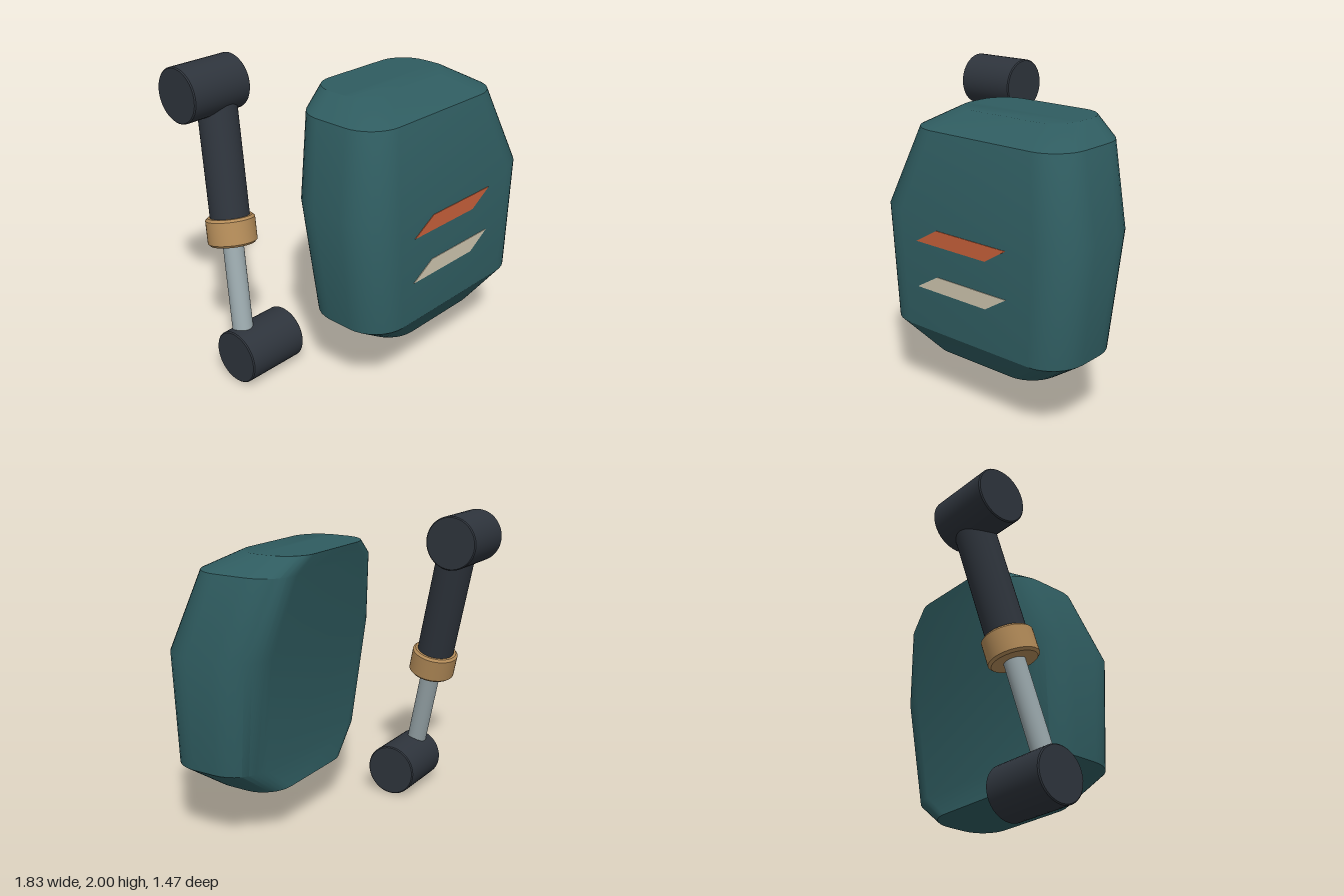
import * as THREE from 'three';
import { toCreasedNormals } from 'three/addons/utils/BufferGeometryUtils.js';

function material(name, color) {
  const m = new THREE.MeshStandardMaterial({ color });
  m.name = name;
  return m;
}

// Rounded-rectangle ring at height y, corner by corner
function ring({ y, x0, x1, z0, z1, r }, steps = 8) {
  const corners = [[x1 - r, z1 - r], [x0 + r, z1 - r], [x0 + r, z0 + r], [x1 - r, z0 + r]];
  const points = [];
  corners.forEach(([cx, cz], k) => {
    for (let i = 0; i <= steps; i++) {
      const a = (k + i / steps) * Math.PI / 2;
      points.push([cx + r * Math.cos(a), y, cz + r * Math.sin(a)]);
    }
  });
  return points;
}

// Skin a stack of rings and cap both ends
function loft(sections) {
  const rings = sections.map((s) => ring(s));
  const n = rings[0].length;
  const pos = [];
  const tri = (a, b, c) => pos.push(...a, ...b, ...c);
  for (let j = 0; j < rings.length - 1; j++) {
    for (let i = 0; i < n; i++) {
      const k = (i + 1) % n;
      const [a, b, c, d] = [rings[j][i], rings[j][k], rings[j + 1][k], rings[j + 1][i]];
      tri(a, d, b);
      tri(b, d, c);
    }
  }
  const bottom = rings[0], top = rings[rings.length - 1];
  for (let i = 1; i < n - 1; i++) {
    tri(bottom[0], bottom[i], bottom[i + 1]);
    tri(top[0], top[i + 1], top[i]);
  }
  const g = new THREE.BufferGeometry();
  g.setAttribute('position', new THREE.Float32BufferAttribute(pos, 3));
  return toCreasedNormals(g, 0.5);
}

// Solid cylinder along y with small bevelled rims
function bevelledCylinder(radius, length, bevel) {
  const h = length / 2;
  const profile = [[0, -h], [radius - bevel, -h], [radius, -h + bevel],
    [radius, h - bevel], [radius - bevel, h], [0, h]].map(([x, y]) => new THREE.Vector2(x, y));
  return toCreasedNormals(new THREE.LatheGeometry(profile, 40), 0.5);
}

export function createModel() {
  const model = new THREE.Group();
  const teal = material('teal shell', 0x2f5c60);
  const dark = material('dark metal', 0x2e343c);
  const brass = material('brass', 0xb48c59);
  const steel = material('steel', 0x9aa8ac);
  const orange = material('orange stripe', 0xc8603a);
  const cream = material('cream stripe', 0xcec5ae);

  const add = (parent, name, geometry, mat) => {
    const mesh = new THREE.Mesh(geometry, mat);
    mesh.name = name;
    parent.add(mesh);
    return mesh;
  };

  // Armour shell
  add(model, 'shell', loft([
    { y: 0.33, x0: -0.32, x1: 0.61, z0: 0.08, z1: 0.62, r: 0.2 },
    { y: 0.51, x0: -0.57, x1: 0.86, z0: 0.11, z1: 0.73, r: 0.23 },
    { y: 1.25, x0: -0.63, x1: 0.915, z0: 0.025, z1: 0.73, r: 0.25 },
    { y: 1.74, x0: -0.465, x1: 0.75, z0: -0.07, z1: 0.59, r: 0.22 },
    { y: 1.85, x0: -0.29, x1: 0.58, z0: -0.1, z1: 0.38, r: 0.19 },
  ]), teal);

  // Slanted stripes on the front
  const stripe = (name, y, mat) => {
    const shape = new THREE.Shape([[-0.25, 0], [0.31, 0], [0.47, 0.1], [-0.08, 0.1]]
      .map(([x, h]) => new THREE.Vector2(x, h)));
    const g = new THREE.ExtrudeGeometry(shape, { depth: 0.005, bevelEnabled: false });
    add(model, name, g, mat).position.set(0, y, 0.729);
  };
  stripe('upperStripe', 1.08, orange);
  stripe('lowerStripe', 0.782, cream);

  // Piston: two cross knuckles joined by a slanted rod and sleeve
  const piston = new THREE.Group();
  piston.name = 'piston';
  model.add(piston);

  const low = new THREE.Vector3(-0.833, 0.175, -0.16);
  const high = new THREE.Vector3(-0.625, 1.825, -0.565);
  for (const [name, end] of [['lowerKnuckle', low], ['upperKnuckle', high]]) {
    const k = add(piston, name, bevelledCylinder(0.175, 0.43, 0.007), dark);
    k.rotation.z = Math.PI / 2;
    k.position.set(-0.703, end.y, end.z);
  }

  const axis = high.clone().sub(low).normalize();
  const tilt = new THREE.Quaternion().setFromUnitVectors(new THREE.Vector3(0, 1, 0), axis);
  const length = high.distanceTo(low);
  const segment = (name, from, to, radius, bevel, mat) => {
    const m = add(piston, name, bevelledCylinder(radius, (to - from) * length, bevel), mat);
    m.quaternion.copy(tilt);
    m.position.lerpVectors(low, high, (from + to) / 2);
  };
  segment('rod', 0, 0.5, 0.066, 0.004, steel);
  segment('sleeve', 0.46, 1, 0.125, 0.004, dark);
  segment('collar', 0.42, 0.523, 0.156, 0.015, brass);

  return model;
}
